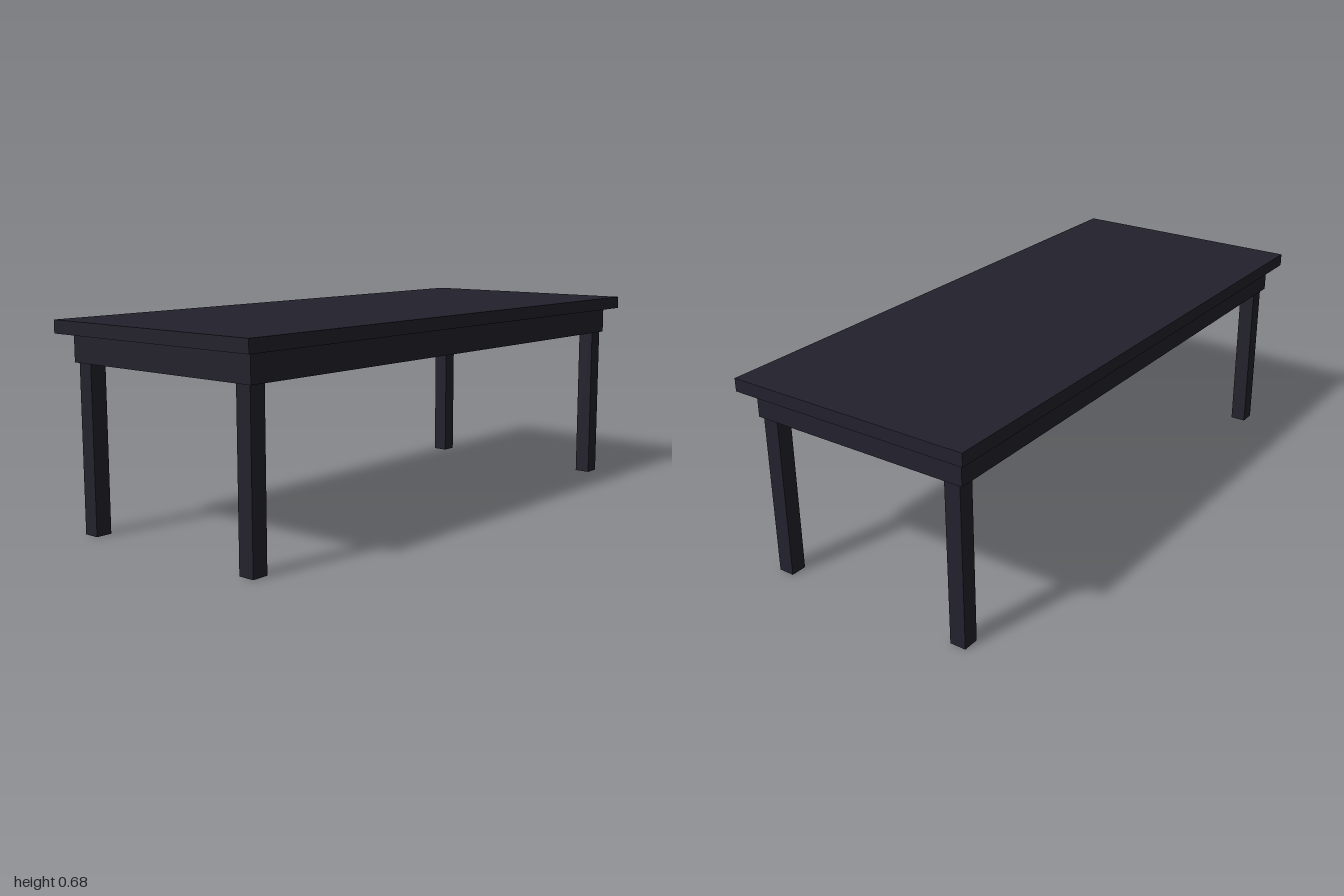
import * as THREE from 'three';

const darkStain = new THREE.MeshStandardMaterial({ color: 0x23222d });

// Box given by its lower and upper limits on each axis
function box(name, [x0, x1], [y0, y1], [z0, z1]) {
  const mesh = new THREE.Mesh(new THREE.BoxGeometry(x1 - x0, y1 - y0, z1 - z0), darkStain);
  mesh.name = name;
  mesh.position.set((x0 + x1) / 2, (y0 + y1) / 2, (z0 + z1) / 2);
  return mesh;
}

export function createModel() {
  const table = new THREE.Group();
  table.name = 'table';
  const topY = 0.683, underside = 0.64, apronY = 0.549;
  const ax = 0.956, az = 0.388, t = 0.01; // apron half sizes and thickness

  table.add(box('tableTop', [-1, 1], [underside, topY], [-0.427, 0.427]));

  // Thin apron boards forming an open frame below the top
  const apronHeight = [apronY, underside];
  table.add(
    box('frontApron', [-ax, ax], apronHeight, [az - t, az]),
    box('backApron', [-ax, ax], apronHeight, [-az, -az + t]),
    box('leftApron', [ax - t, ax], apronHeight, [-az + t, az - t]),
    box('rightApron', [-ax, -ax + t], apronHeight, [-az + t, az - t]),
  );

  // Square legs in the corners of the frame
  const legX = { Right: [-0.95, -0.894], Left: [0.89, 0.945] };
  const legZ = { front: [0.324, 0.379], back: [-0.372, -0.317] };
  for (const [end, z] of Object.entries(legZ))
    for (const [side, x] of Object.entries(legX))
      table.add(box(`${end}${side}Leg`, x, [0, underside], z));

  return table;
}
